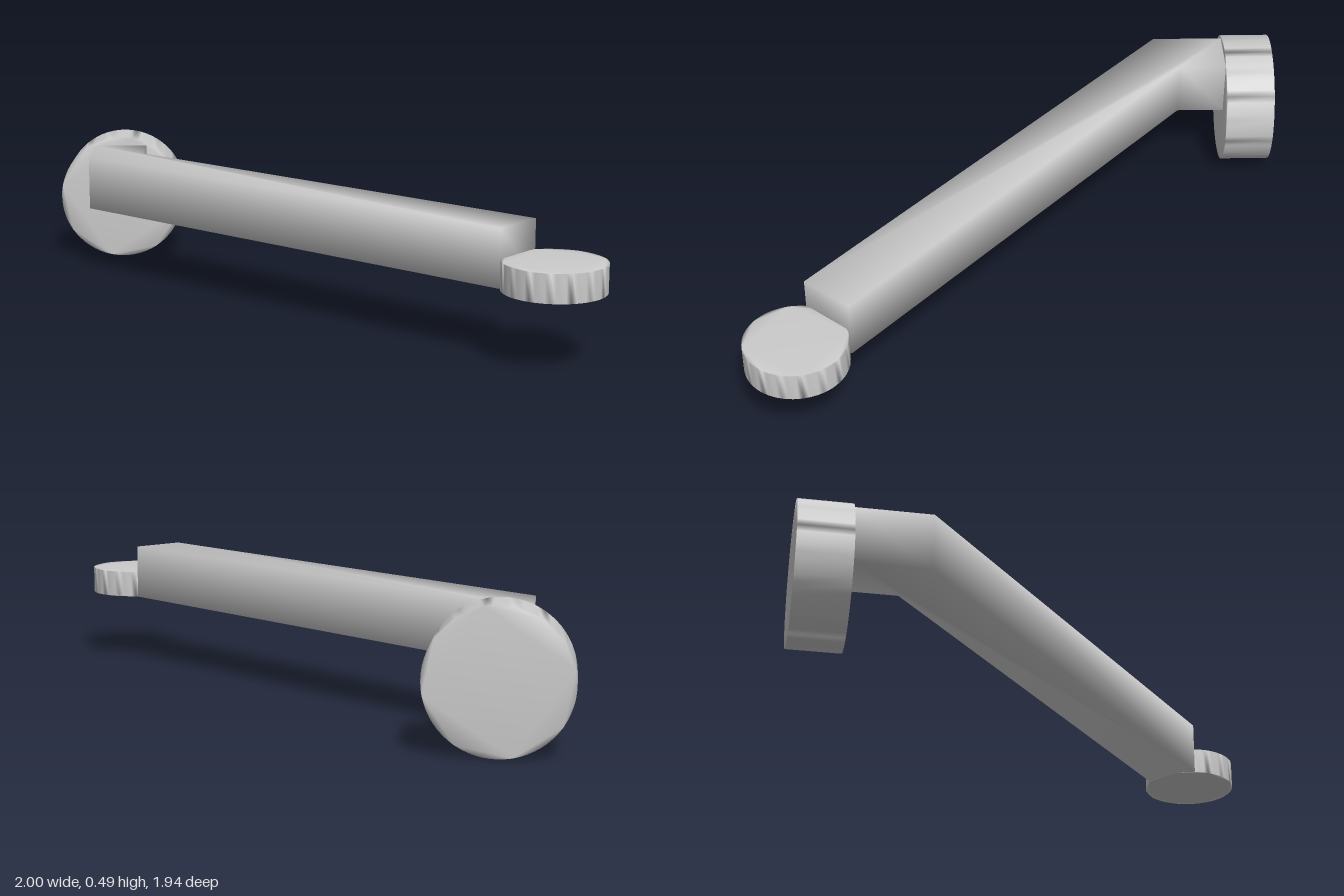
import * as THREE from 'three';
import { mergeVertices } from 'three/addons/utils/BufferGeometryUtils.js';

const material = new THREE.MeshStandardMaterial({ color: 0xcccccc });

// Straight extrusion of an outline, with normals blended across every edge.
function softPrism(points, depth) {
  const raw = new THREE.ExtrudeGeometry(new THREE.Shape(points), { depth, bevelEnabled: false });
  raw.deleteAttribute('uv');
  raw.deleteAttribute('normal');
  const geometry = mergeVertices(raw, 1e-4);
  geometry.computeVertexNormals();
  return geometry;
}

function circle(radius, sides = 64) {
  return Array.from({ length: sides }, (_, i) => {
    const a = (i / sides) * Math.PI * 2;
    return new THREE.Vector2(Math.cos(a) * radius, Math.sin(a) * radius);
  });
}

function part(name, geometry, x, y, z) {
  const mesh = new THREE.Mesh(geometry, material);
  mesh.name = name;
  mesh.position.set(x, y, z);
  return mesh;
}

export function createModel() {
  const group = new THREE.Group();
  group.name = 'leverHandle';

  // Round mounting plate at the back, axis along z
  group.add(part('mountingDisc', softPrism(circle(0.247), 0.185), -0.753, 0.247, -0.97));

  // Square bar: short neck, mitred bend, then the long diagonal arm (outline in x, z)
  const outline = [
    [-0.855, -0.785], [-0.65, -0.785], [-0.65, -0.605],
    [0.775, 0.61], [0.64, 0.767], [-0.855, -0.515],
  ].map(([x, z]) => new THREE.Vector2(x, z));
  const bar = softPrism(outline, 0.205).rotateX(Math.PI / 2);
  group.add(part('bentArm', bar, 0, 0.46, 0));

  // Thin round pad at the end of the arm, axis vertical
  const pad = softPrism(circle(0.178), 0.1).rotateX(Math.PI / 2);
  group.add(part('endPad', pad, 0.819, 0.355, 0.79));

  return group;
}
